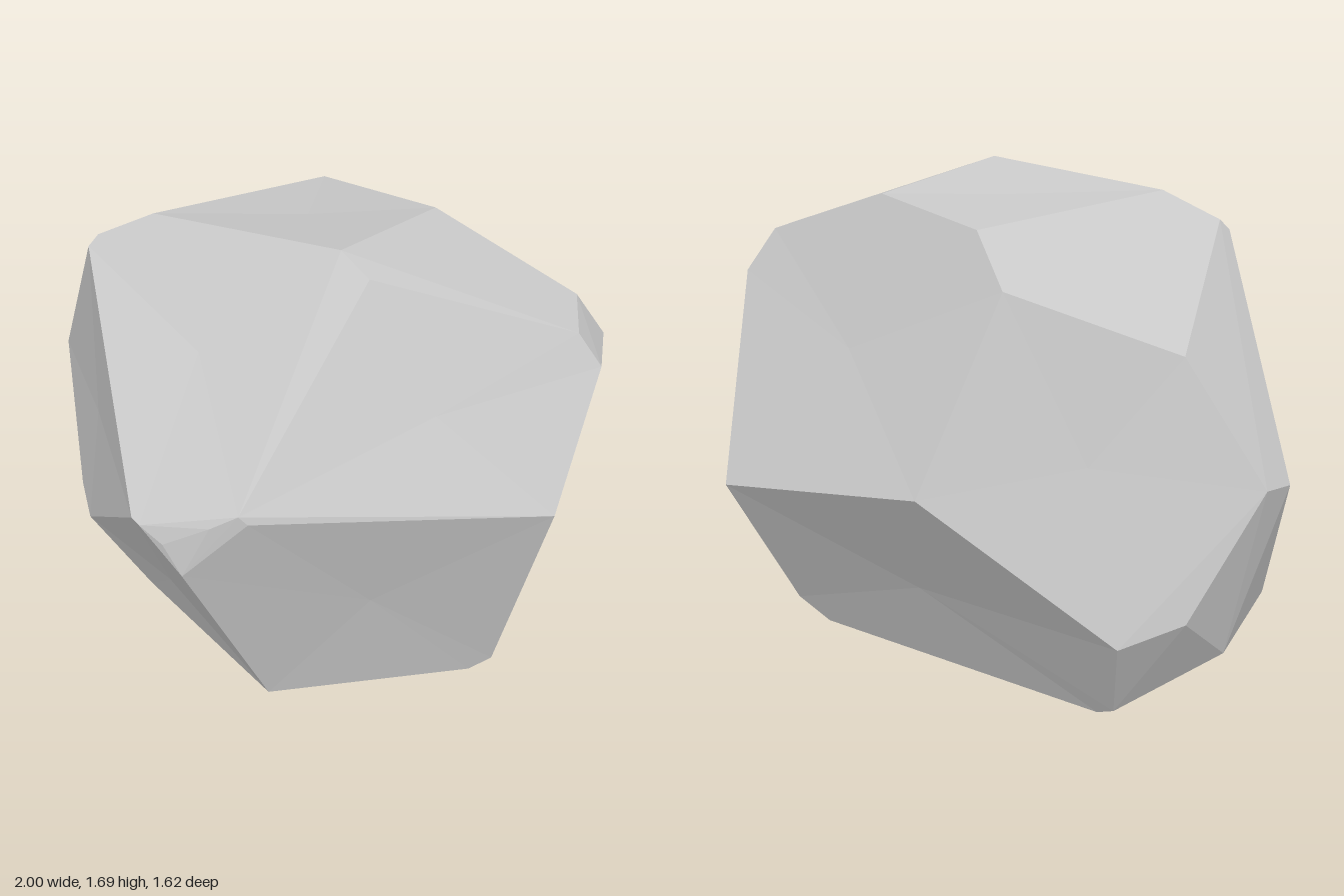
import * as THREE from 'three';
import { ConvexGeometry } from 'three/addons/geometries/ConvexGeometry.js';

// Corners of the chiselled boulder, grouped by region
const crown = [
  [-0.45, 1.647, 0.085], [-0.634, 1.56, 0.12], [-0.66, 1.525, 0.145], [0.205, 1.69, 0.205],
  [0.31, 1.64, 0.262], [0.39, 1.63, -0.26], [-0.04, 1.59, -0.445], [-0.18, 1.445, -0.565],
  [-0.69, 1.26, -0.39],
];
const leftSide = [
  [0.88, 1.45, -0.165], [0.917, 1.433, 0.035], [0.98, 1.3, -0.205], [1, 1.33, 0.04],
  [0.945, 0.94, 0.322], [0.86, 0.647, -0.59],
];
const nose = [
  [-0.28, 0.985, 0.775], [-0.25, 0.975, 0.79], [-0.17, 0.93, 0.805], [-0.11, 0.82, 0.81],
  [-0.02, 1.02, 0.79], [0.067, 1.075, 0.772], [0.094, 1.045, 0.765],
];
const backAndRight = [
  [0, 0.84, -0.81], [-0.6, 0.39, -0.66], [-0.78, 0.465, -0.555], [-0.96, 0.87, -0.38],
  [-1, 0.845, -0.25], [-0.89, 0.34, -0.03], [-0.82, 0.265, 0.07], [-0.84, 0.245, -0.31],
];
const base = [
  [0.79, 0.065, 0.137], [0.78, 0.09, -0.315], [0.715, 0, 0.155], [0.67, 0, -0.29],
  [0.05, 0, 0.485], [-0.57, 0, 0.09], [-0.61, 0, -0.1], [-0.687, 0.06, -0.12],
  [-0.46, 0, -0.445], [-0.53, 0.045, -0.48],
];

// Triangles of the hull, largest first
function hullTriangles(points) {
  const pos = new ConvexGeometry(points).attributes.position;
  const triangles = [];
  for (let i = 0; i < pos.count; i += 3) {
    const corners = [0, 1, 2].map((k) => new THREE.Vector3().fromBufferAttribute(pos, i + k));
    const t = new THREE.Triangle(...corners);
    triangles.push({ corners, area: t.getArea(), normal: t.getNormal(new THREE.Vector3()),
      middle: t.getMidpoint(new THREE.Vector3()) });
  }
  return triangles.sort((a, b) => b.area - a.area);
}

// Replace each large flat face by a fan around a slightly sunken centre
function dentFaces(triangles) {
  const out = [];
  let rest = triangles;
  while (rest.length) {
    const seed = rest[0];
    const inFace = (t) => t === seed || t.normal.dot(seed.normal) > 0.9975;
    const face = rest.filter(inFace);
    rest = rest.filter((t) => !inFace(t));

    const area = face.reduce((sum, t) => sum + t.area, 0);
    if (area < 0.25 || seed.normal.y < -0.95) {
      face.forEach((t) => out.push(...t.corners));
      continue;
    }
    const centre = new THREE.Vector3();
    face.forEach((t) => centre.addScaledVector(t.middle, t.area / area));
    centre.addScaledVector(seed.normal, -0.02 * Math.sqrt(area));

    // Outline edges are those without a reversed twin in the same face
    const edges = face.flatMap(({ corners: [a, b, c] }) => [[a, b], [b, c], [c, a]]);
    edges.filter(([a, b]) => !edges.some(([c, d]) => a.equals(d) && b.equals(c)))
      .forEach(([a, b]) => out.push(a, b, centre));
  }
  return out;
}

export function createModel() {
  const stone = new THREE.MeshStandardMaterial({ color: 0xc8c8c8 });
  stone.name = 'stoneGrey';

  const corners = [...crown, ...leftSide, ...nose, ...backAndRight, ...base]
    .map((p) => new THREE.Vector3(...p));
  const geometry = new THREE.BufferGeometry().setFromPoints(dentFaces(hullTriangles(corners)));
  geometry.computeVertexNormals();
  const boulder = new THREE.Mesh(geometry, stone);
  boulder.name = 'boulder';

  const group = new THREE.Group();
  group.name = 'rock';
  group.add(boulder);
  return group;
}
